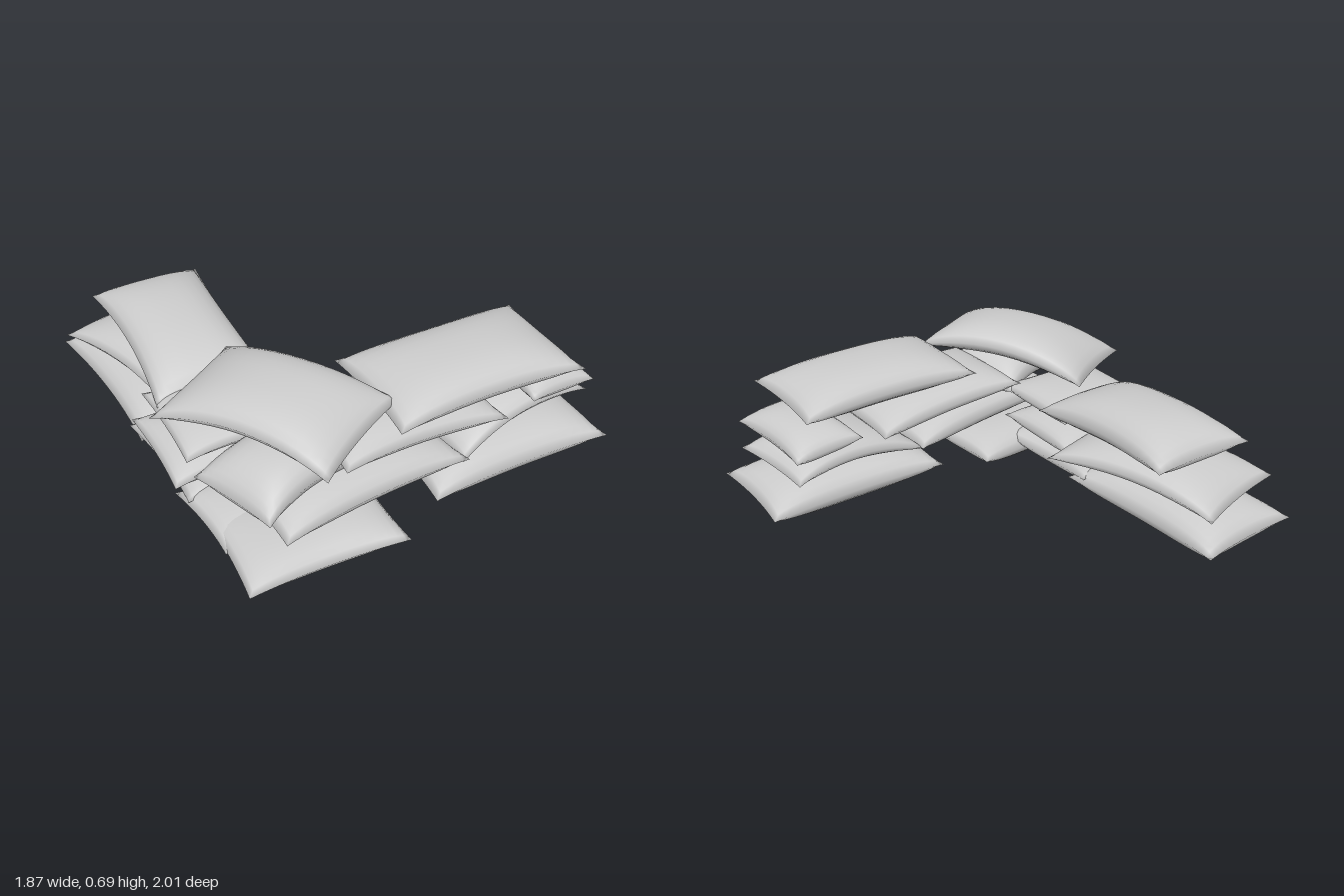
import * as THREE from 'three';
import { mergeGeometries, mergeVertices } from 'three/addons/utils/BufferGeometryUtils.js';

const material = new THREE.MeshStandardMaterial({ color: 0xcccccc, side: THREE.DoubleSide });

// One half of a stuffed sack: side +1 is the top sheet, -1 the bottom sheet.
function sheet(side, { l, w, h, bend = 0, tilt = 0, roll = 0 }) {
  const geo = new THREE.PlaneGeometry(2, 2, 16, 12);
  geo.rotateX(-Math.PI / 2);
  const p = geo.attributes.position;
  for (let i = 0; i < p.count; i++) {
    // crowd the grid towards the seam, where the sack curves most
    const u = Math.sin(p.getX(i) * Math.PI / 2) * 0.6 + p.getX(i) * 0.4;
    const v = Math.sin(p.getZ(i) * Math.PI / 2) * 0.6 + p.getZ(i) * 0.4;
    // the seam is drawn in between the pointed corners
    const x = u * (l / 2) * (1 - 0.04 * (1 - v * v));
    const z = v * (w / 2) * (1 - 0.11 * (1 - u * u));
    const fill = Math.max(0, 1 - Math.abs(u) ** 3) ** 0.55 * Math.max(0, 1 - Math.abs(v) ** 2.6) ** 0.6;
    const y = side * (h / 2) * fill - bend * u * u + tilt * u + roll * v;
    p.setXYZ(i, x, y, z);
  }
  if (side < 0) {
    const idx = geo.index.array;
    for (let i = 0; i < idx.length; i += 3) [idx[i], idx[i + 1]] = [idx[i + 1], idx[i]];
  }
  geo.deleteAttribute('normal');
  geo.deleteAttribute('uv');
  return geo;
}

// Both sheets welded along the seam, so the cloth turns over it softly.
function sandbag(spec) {
  const geo = mergeVertices(mergeGeometries([sheet(1, spec), sheet(-1, spec)]), 1e-5);
  geo.computeVertexNormals();
  const bag = new THREE.Mesh(geo, material);
  bag.name = spec.name;
  bag.position.set(...spec.at);
  bag.rotation.y = THREE.MathUtils.degToRad(spec.yaw);
  return bag;
}

// l, w, h: size; bend: droop of the ends; tilt, roll: rise along length, width
const bags = [
  // bottom course
  { name: 'bottomLeftBag', at: [0.47, 0.11, 0.65], l: 0.89, w: 0.53, h: 0.22, yaw: -4 },
  { name: 'bottomCornerBag', at: [-0.53, 0.1, 0.71], l: 0.7, w: 0.52, h: 0.16, yaw: -6, bend: -0.01 },
  { name: 'bottomInnerBag', at: [-0.5, 0.09, 0.46], l: 0.76, w: 0.42, h: 0.18, yaw: 2, bend: -0.02 },
  { name: 'bottomMiddleBag', at: [-0.61, 0.115, 0.08], l: 0.58, w: 0.53, h: 0.16, yaw: -90, bend: -0.02 },
  { name: 'bottomBackBag', at: [-0.6, 0.11, -0.555], l: 0.89, w: 0.53, h: 0.22, yaw: -90 },
  // second course
  { name: 'secondLeftBag', at: [0.5, 0.315, 0.59], l: 0.7, w: 0.48, h: 0.14, yaw: 3, bend: 0.055, tilt: 0.035 },
  { name: 'secondFrontBag', at: [-0.28, 0.26, 0.63], l: 0.91, w: 0.5, h: 0.19, yaw: 3, bend: 0.01, tilt: -0.015 },
  { name: 'secondMiddleBag', at: [-0.63, 0.225, 0.13], l: 0.55, w: 0.5, h: 0.15, yaw: -4 },
  { name: 'secondBackBag', at: [-0.555, 0.3, -0.475], l: 0.87, w: 0.53, h: 0.16, yaw: -79, bend: 0.05 },
  // third course
  { name: 'thirdEndBag', at: [0.665, 0.42, 0.605], l: 0.53, w: 0.34, h: 0.15, yaw: -90, bend: 0.01, roll: 0.01 },
  { name: 'thirdFrontBag', at: [-0.01, 0.415, 0.58], l: 0.78, w: 0.54, h: 0.17, yaw: -2, bend: 0.01, tilt: -0.025 },
  { name: 'thirdCornerBag', at: [-0.58, 0.42, 0.62], l: 0.53, w: 0.43, h: 0.2, yaw: 14, bend: 0.045, roll: 0.01 },
  { name: 'thirdMiddleBag', at: [-0.61, 0.37, 0.16], l: 0.5, w: 0.5, h: 0.13, yaw: -4 },
  { name: 'thirdBackBag', at: [-0.54, 0.45, -0.36], l: 0.85, w: 0.52, h: 0.21, yaw: -95, bend: 0.03, tilt: -0.03 },
  // top course
  { name: 'topFrontBag', at: [0.28, 0.56, 0.63], l: 0.89, w: 0.54, h: 0.19, yaw: -4, bend: 0.015 },
  { name: 'topCornerBag', at: [-0.515, 0.6, 0.455], l: 0.84, w: 0.53, h: 0.17, yaw: -64, bend: 0.07, tilt: 0.03, roll: -0.015 },
];

export function createModel() {
  const model = new THREE.Group();
  model.name = 'sandbagWall';
  for (const spec of bags) model.add(sandbag(spec));
  return model;
}
